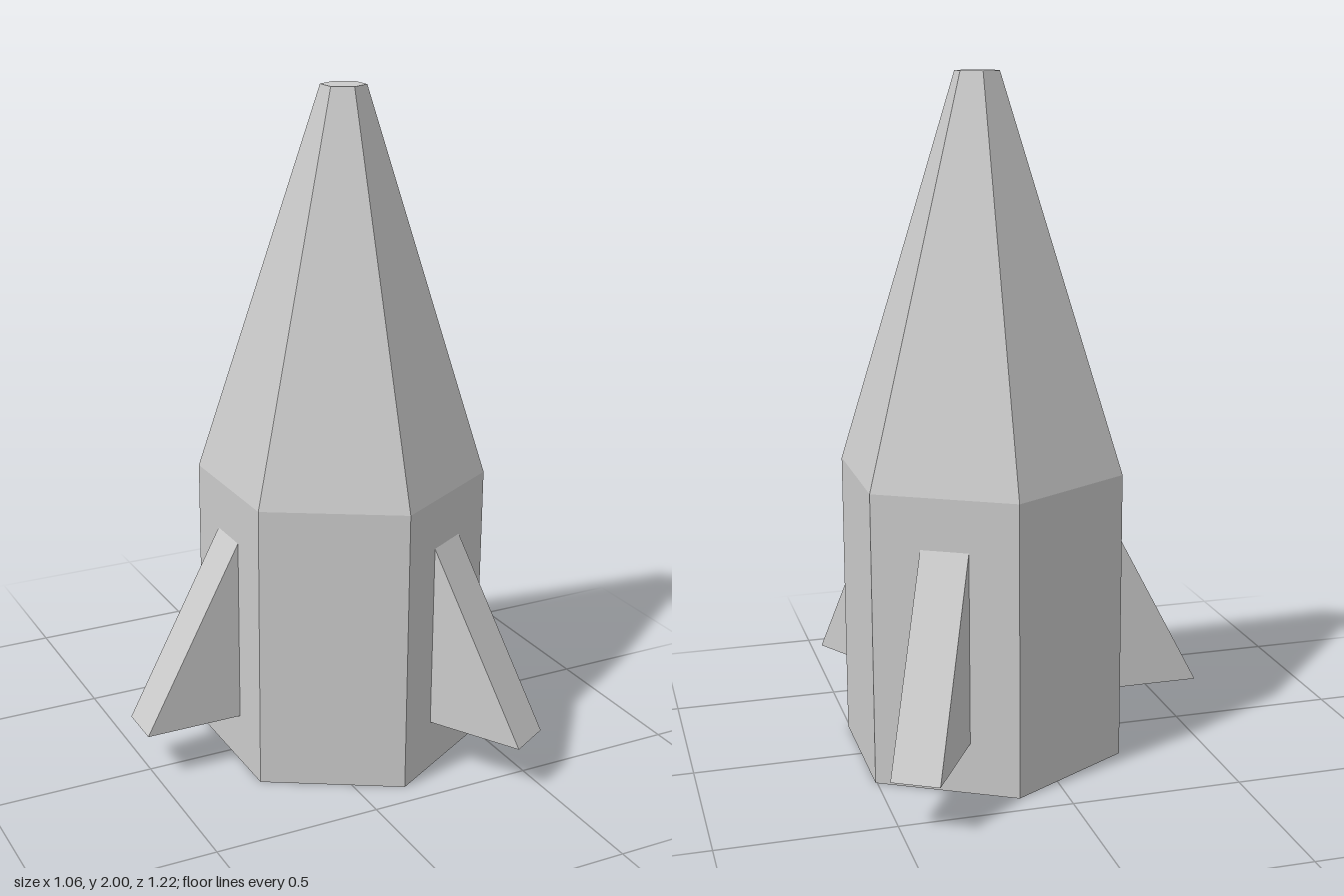
import * as THREE from 'three';

const SIDES = 6;
const RADIUS = 0.427;
const APOTHEM = RADIUS * Math.cos(Math.PI / SIDES);
const SHOULDER = 0.86;

export function createModel() {
  const model = new THREE.Group();
  model.name = 'rocket';
  const material = new THREE.MeshStandardMaterial({ color: 0xcccccc, flatShading: true });

  const hull = new THREE.Group();
  hull.name = 'hull';
  hull.position.x = 0.135;
  model.add(hull);

  const addPart = (name, geometry) => {
    const mesh = new THREE.Mesh(geometry, material);
    mesh.name = name;
    hull.add(mesh);
    return mesh;
  };

  // Six-sided turned part, profile listed bottom to top as [radius, y]
  const turned = (profile) =>
    new THREE.LatheGeometry(profile.map(([r, y]) => new THREE.Vector2(r, y)), SIDES);

  // Straight body, closed underneath, and the tapered nose with a small flat tip
  addPart('body', turned([[0, 0], [RADIUS, 0], [RADIUS, SHOULDER]]));
  addPart('nose', turned([[RADIUS, SHOULDER], [0.066, 2], [0, 2]]));

  // Triangular fins standing on every second face
  const finWidth = 0.14;
  const finShape = new THREE.Shape([
    new THREE.Vector2(APOTHEM, 0.15),
    new THREE.Vector2(0.665, 0.15),
    new THREE.Vector2(APOTHEM, 0.71),
  ]);
  const finGeometry = new THREE.ExtrudeGeometry(finShape, { depth: finWidth, bevelEnabled: false });
  finGeometry.translate(0, 0, -finWidth / 2);
  ['rearLeftFin', 'rightFin', 'frontLeftFin'].forEach((name, i) => {
    addPart(name, finGeometry).rotation.y = Math.PI / 3 + (i * 2 * Math.PI) / 3;
  });

  return model;
}
